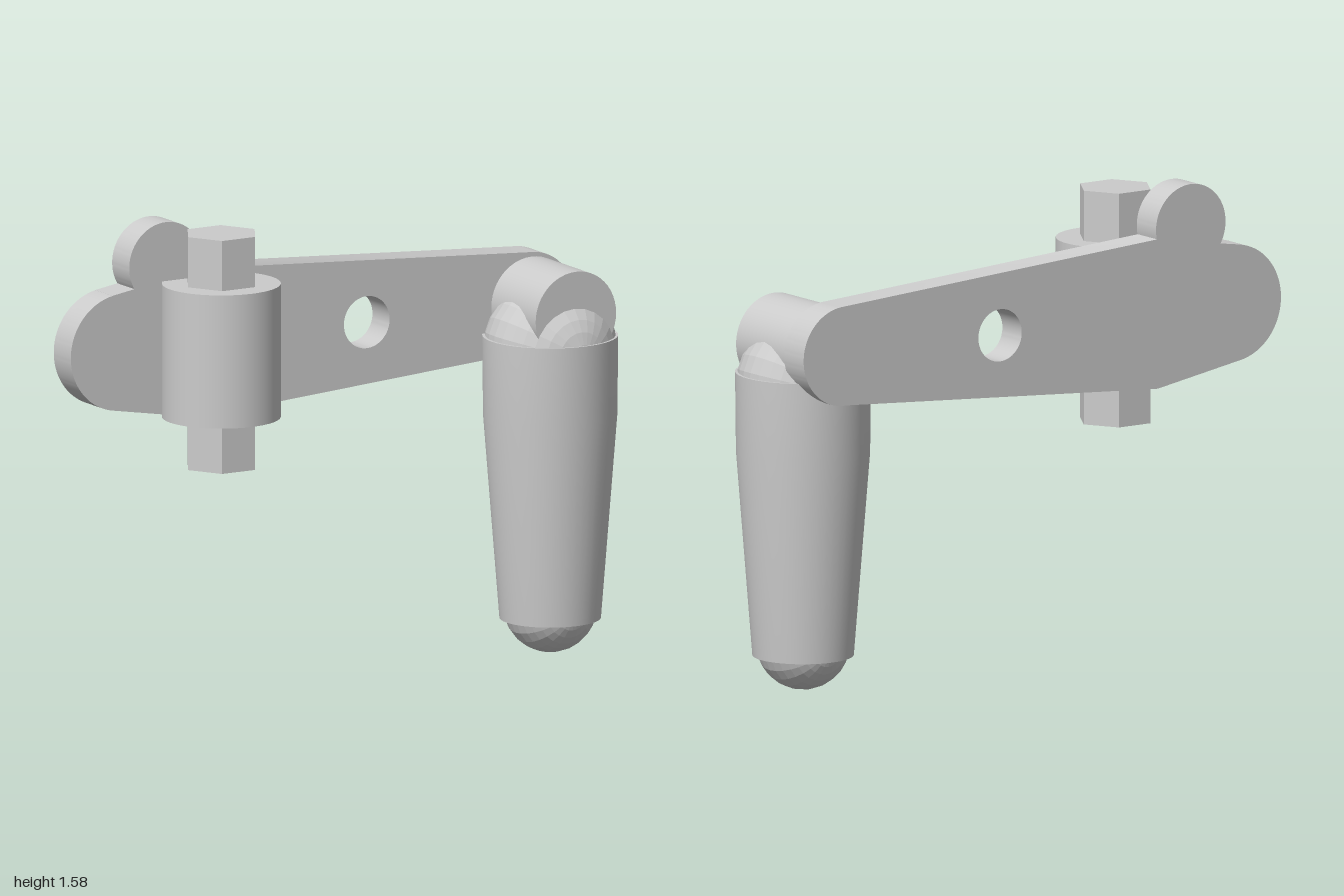
import * as THREE from 'three';
import { toCreasedNormals } from 'three/addons/utils/BufferGeometryUtils.js';

export function createModel() {
  const group = new THREE.Group();
  const smooth = new THREE.MeshStandardMaterial({ color: 0xcccccc });
  const faceted = new THREE.MeshStandardMaterial({ color: 0xcccccc, flatShading: true });

  const add = (name, geometry, x, y, z, material = smooth) => {
    const mesh = new THREE.Mesh(geometry, material);
    mesh.name = name;
    mesh.position.set(x, y, z);
    group.add(mesh);
    return mesh;
  };
  const creased = (geometry) => toCreasedNormals(geometry, 0.5);

  // Crank arm: tapered plate with rounded ends, a thumb knob and a hole
  const outline = new THREE.Shape();
  outline.moveTo(-0.5, 0.905);
  outline.lineTo(0.76, 0.991);
  outline.absarc(0.77, 1.158, 0.167, -1.64, 1.505, false);
  outline.lineTo(-0.495, 1.408);
  outline.absarc(-0.634, 1.438, 0.141, -0.21, Math.PI + 0.54, false);
  outline.lineTo(-0.84, 1.352);
  outline.absarc(-0.803, 1.158, 0.197, 1.76, Math.PI * 2 - 1.76, false);
  outline.closePath();
  const hole = new THREE.Path();
  hole.absarc(0.14, 1.157, 0.088, 0, Math.PI * 2, true);
  outline.holes.push(hole);
  const plate = new THREE.ExtrudeGeometry(outline, { depth: 0.11, bevelEnabled: false, curveSegments: 32 });
  add('crankArm', creased(plate), 0, 0, -0.235);

  // Hub barrel with a hexagonal shaft through it
  add('hub', new THREE.CylinderGeometry(0.197, 0.197, 0.45, 48), -0.495, 1.155, 0);
  const shaft = new THREE.CylinderGeometry(0.128, 0.128, 0.787, 6);
  shaft.rotateY(Math.PI / 6);
  add('hexShaft', shaft, -0.495, 1.156, 0, faceted);

  // Pin joining the arm to the grip
  const pin = new THREE.CylinderGeometry(0.155, 0.155, 0.285, 48);
  pin.rotateX(Math.PI / 2);
  add('gripPin', pin, 0.775, 1.155, 0.0175);

  // Tapered hand grip
  const profile = [[0, 0.115], [0.168, 0.115], [0.222, 0.8], [0.225, 1.07], [0, 1.07]]
    .map(([r, y]) => new THREE.Vector2(r, y));
  add('grip', creased(new THREE.LatheGeometry(profile, 48)), 0.77, 0, 0.003);

  // Rounded ends of the grip
  for (const [name, radius, y] of [['gripTopDome', 0.221, 1.03], ['gripBottomDome', 0.156, 0.156]]) {
    const dome = new THREE.SphereGeometry(radius, 24, 16);
    dome.rotateX(Math.PI / 2);
    add(name, dome, 0.77, y, 0.003, faceted);
  }

  return group;
}
